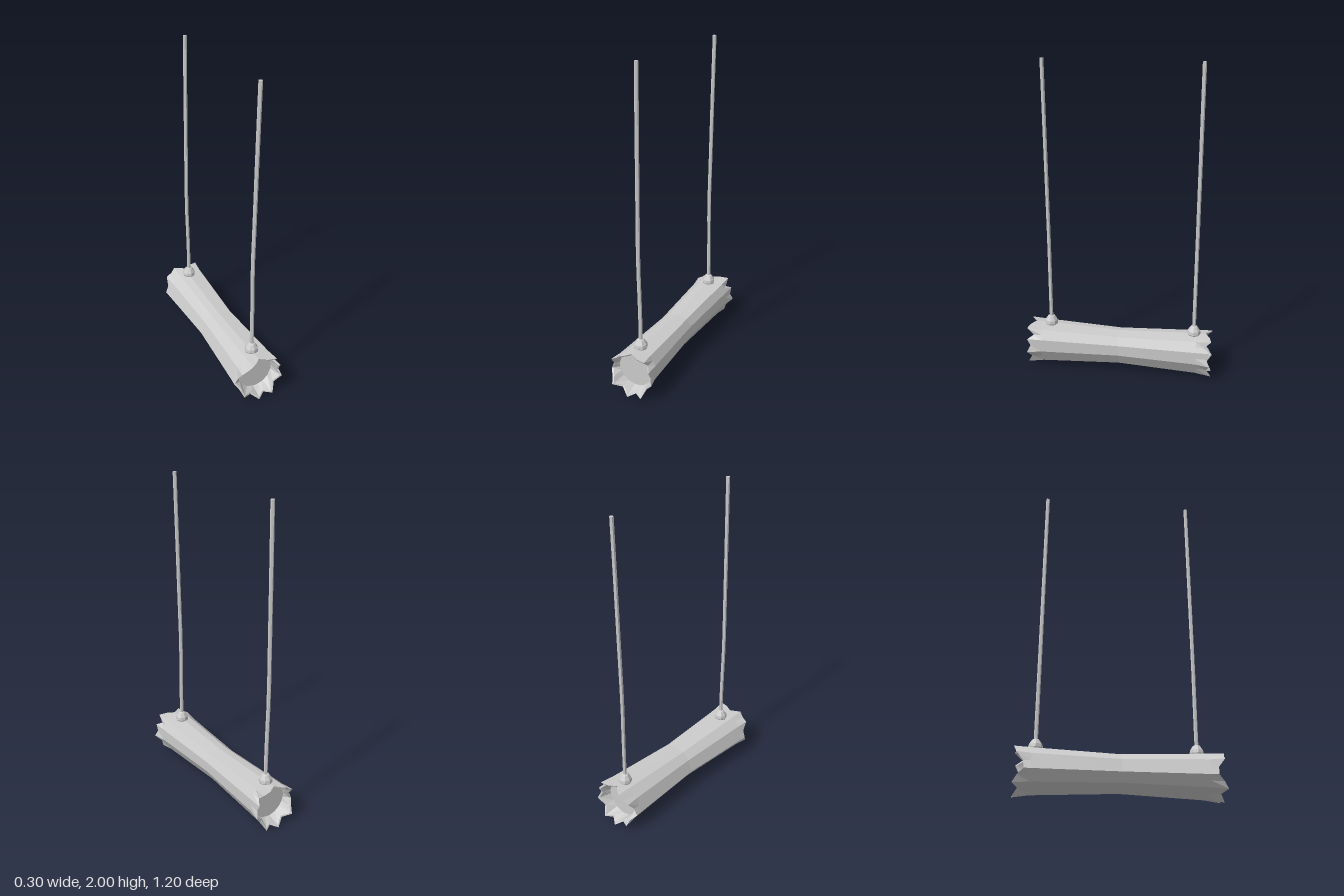
import * as THREE from 'three';

const CY = 0.155; // height of the log axis
// Cross-section corners at the log ends, anticlockwise seen from +z
const CORNERS = [
  [0.135, 0.13], [0.135, 0.215], [0.1, 0.275], [0, 0.285], [-0.06, 0.275],
  [-0.12, 0.225], [-0.155, 0.13], [-0.11, 0.065], [-0.01, 0.02], [0.075, 0.03],
];
// Ragged rim: reach along z and outward flare, for each corner and the midpoint after it
const REACH = [0.59, 0.57, 0.59, 0.55, 0.595, 0.585, 0.555, 0.58, 0.6, 0.59,
  0.585, 0.545, 0.54, 0.575, 0.6, 0.57, 0.6, 0.57, 0.6, 0.57];
const FLARE = [1.11, 1, 1, 0.93, 1.05, 1.02, 1, 1, 1.02, 1,
  1.06, 0.98, 1, 0.97, 1.06, 1, 1.12, 1, 1.08, 1];

const section = CORNERS.flatMap(([x, y], i) => {
  const [nx, ny] = CORNERS[(i + 1) % CORNERS.length];
  return [[x, y - CY], [(x + nx) / 2, (y + ny) / 2 - CY]];
});

function createMaterial() {
  return new THREE.MeshStandardMaterial({ color: 0xcccccc, flatShading: true, side: THREE.DoubleSide });
}

// Joins closed rings of points into one flat-shaded skin
function skin(rings) {
  const n = rings[0].length;
  const index = [];
  for (let k = 0; k < rings.length - 1; k++) {
    for (let i = 0; i < n; i++) {
      const a = k * n + i, b = k * n + (i + 1) % n;
      index.push(a, b, b + n, a, b + n, a + n);
    }
  }
  const geometry = new THREE.BufferGeometry();
  geometry.setAttribute('position', new THREE.Float32BufferAttribute(rings.flat(2), 3));
  geometry.setIndex(index);
  const flat = geometry.toNonIndexed();
  flat.computeVertexNormals();
  return flat;
}

function logGeometry() {
  const ring = (scale, z) => section.map(([x, y]) => [x * scale, CY + y * scale, z]);
  // Rings of one end, from the outer wall over the torn rim to the hollow
  const end = (side) => [
    ring(0.978, side * 0.5),
    section.map(([x, y], i) => [x * FLARE[i], CY + y * FLARE[i], side * REACH[i]]),
    section.map(([x, y], i) => [x * FLARE[i] * 0.93, CY + y * FLARE[i] * 0.93, side * (REACH[i] - 0.006)]),
    section.map(([x, y]) => {
      const r = 0.112 / Math.hypot(x, y);
      return [x * r, CY + y * r, side * 0.51];
    }),
  ];
  return skin([...end(-1).reverse(), ring(0.82, 0), ...end(1)]);
}

export function createModel() {
  const group = new THREE.Group();
  const material = createMaterial();
  const add = (name, geometry, x = 0, y = 0, z = 0) => {
    const mesh = new THREE.Mesh(geometry, material);
    mesh.name = name;
    mesh.position.set(x, y, z);
    group.add(mesh);
    return mesh;
  };

  // Hollow-ended log, waisted in the middle
  add('log', logGeometry());

  // Recessed wood faces inside both ends
  for (const side of [1, -1]) {
    const face = add(side > 0 ? 'frontEndFace' : 'backEndFace', new THREE.CircleGeometry(0.115, 12), 0, CY, side * 0.512);
    if (side < 0) face.rotation.y = Math.PI;
  }

  // Slightly wavering ropes, each with a faceted knot on the log
  const ropePath = new THREE.CatmullRomCurve3([
    [0.004, 0.26, 0], [0.004, 0.5, 0], [-0.002, 0.85, 0], [0.002, 1.2, 0], [0.007, 1.6, 0], [0.013, 2, 0],
  ].map((p) => new THREE.Vector3(...p)));
  const knotProfile = [[0, 0.265], [0.036, 0.268], [0.043, 0.285], [0.04, 0.305], [0.022, 0.333], [0, 0.343]]
    .map(([r, y]) => new THREE.Vector2(r, y));
  for (const [name, z] of [['front', 0.455], ['back', -0.48]]) {
    add(name + 'Rope', new THREE.TubeGeometry(ropePath, 10, 0.012, 6), 0, 0, z);
    add(name + 'RopeTop', new THREE.CircleGeometry(0.012, 6), 0.013, 2, z).rotation.x = -Math.PI / 2;
    add(name + 'Knot', new THREE.LatheGeometry(knotProfile, 8), 0.004, 0, z);
  }
  return group;
}
